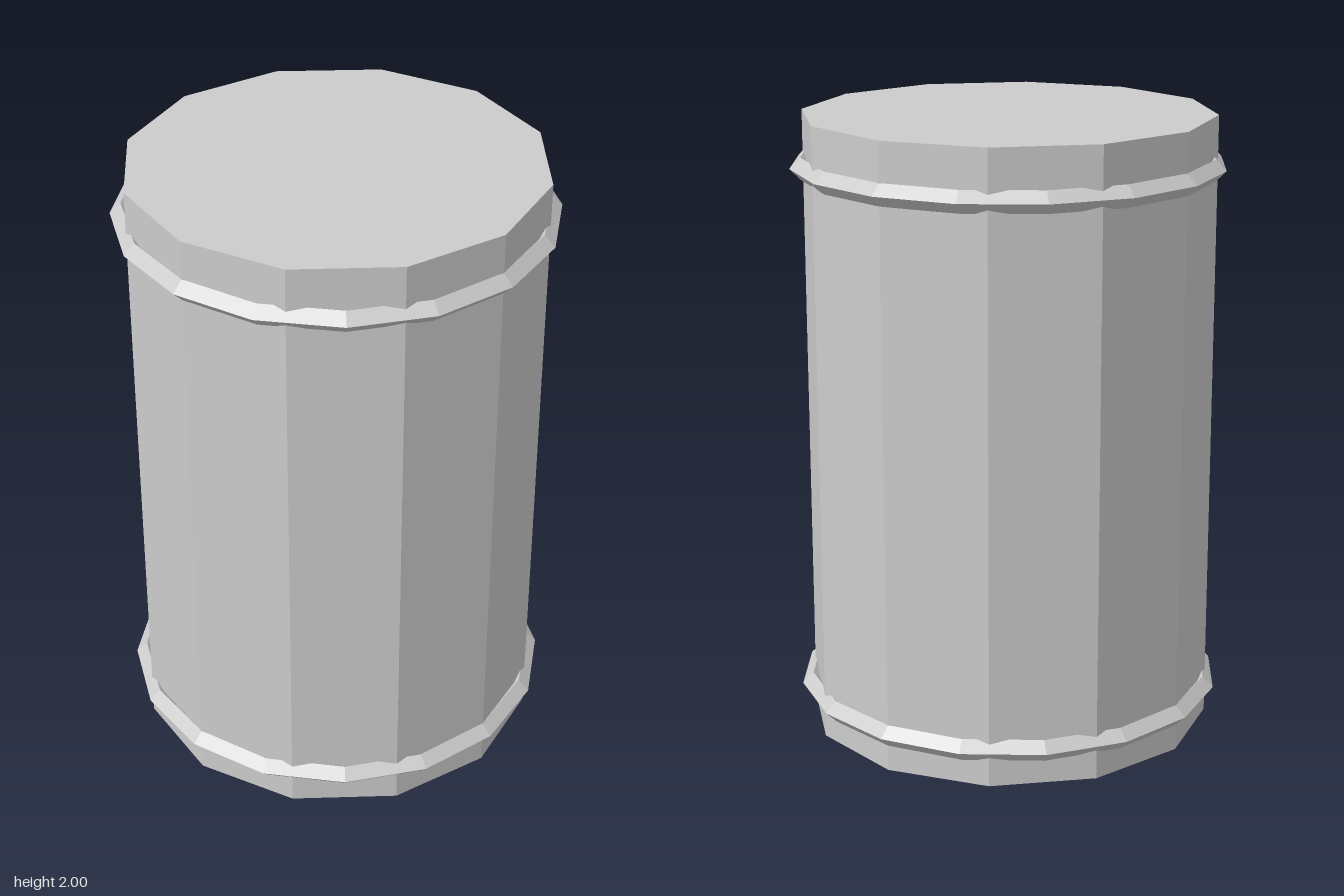
import * as THREE from 'three';

const RADIUS = 0.657;

export function createModel() {
  const group = new THREE.Group();
  group.name = 'barrel';

  const grey = new THREE.MeshStandardMaterial({ color: 0xcccccc, flatShading: true });
  grey.name = 'light grey';

  // Twelve-sided drum with closed ends
  const body = new THREE.Mesh(new THREE.CylinderGeometry(RADIUS, RADIUS, 2, 12), grey);
  body.name = 'body';
  body.position.y = 1;
  group.add(body);

  // Diamond-section hoops near each end
  const hoopGeometry = new THREE.TorusGeometry(RADIUS - 0.001, 0.035, 4, 16).rotateX(Math.PI / 2);
  for (const [name, y] of [['lowerHoop', 0.118], ['upperHoop', 1.84]]) {
    const hoop = new THREE.Mesh(hoopGeometry, grey);
    hoop.name = name;
    hoop.position.y = y;
    group.add(hoop);
  }

  return group;
}
